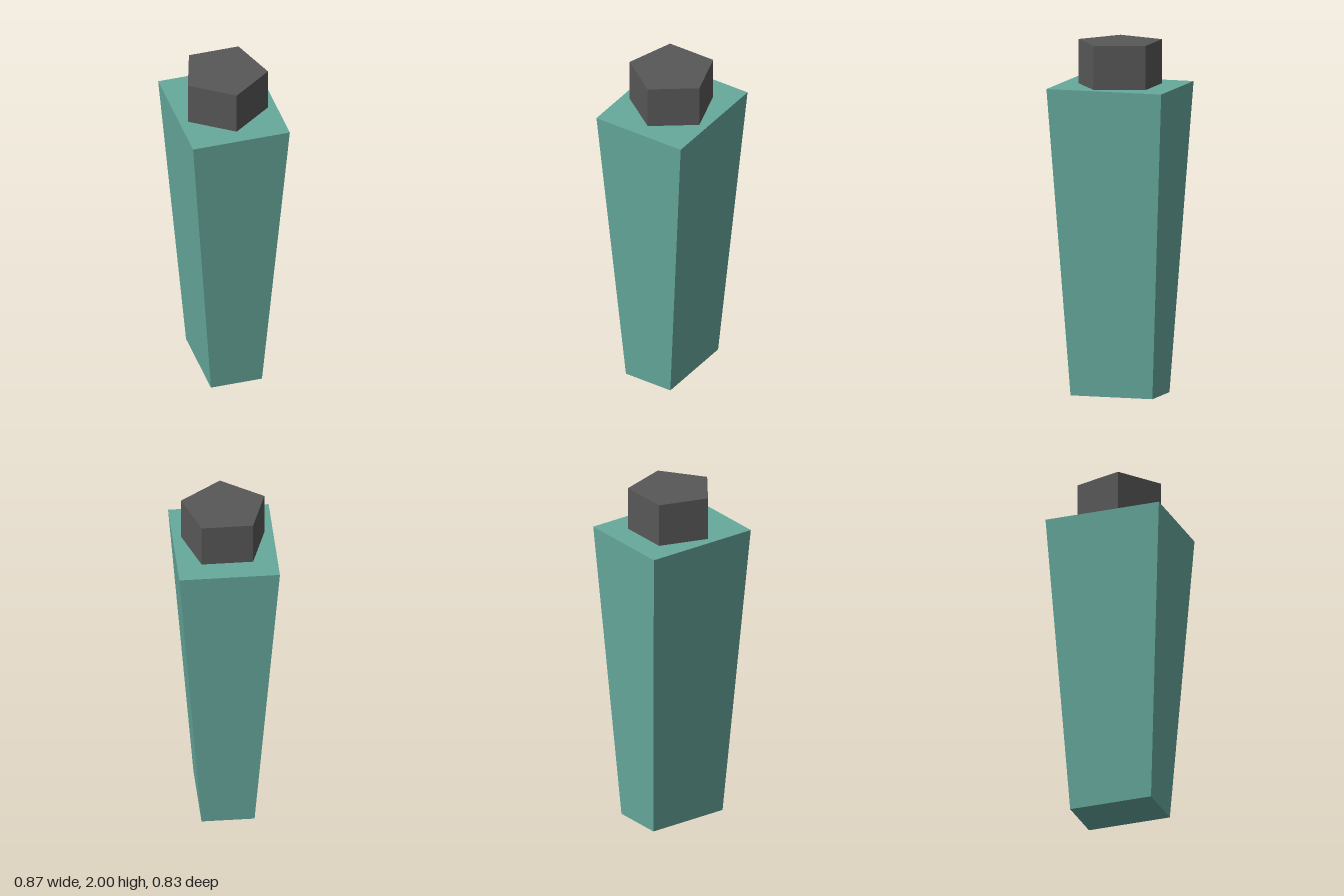
import * as THREE from 'three';

export function createModel() {
  const group = new THREE.Group();
  const teal = new THREE.MeshStandardMaterial({ name: 'teal', color: 0x66a99d });
  const darkGrey = new THREE.MeshStandardMaterial({ name: 'darkGrey', color: 0x575757 });

  // Body: a box whose rectangular section widens upwards
  const height = 1.75;
  const top = { w: 0.68, d: 0.567 };
  const bottom = { w: 0.485, d: 0.299 };
  const bodyGeometry = new THREE.BoxGeometry(1, height, 1);
  const p = bodyGeometry.attributes.position;
  for (let i = 0; i < p.count; i++) {
    const size = p.getY(i) > 0 ? top : bottom;
    p.setX(i, p.getX(i) * size.w);
    p.setZ(i, p.getZ(i) * size.d);
  }
  bodyGeometry.computeVertexNormals();
  const body = new THREE.Mesh(bodyGeometry, teal);
  body.name = 'body';
  body.position.y = height / 2;
  body.rotation.y = -0.509;
  group.add(body);

  // Cap: a five-sided prism, with flat normals on every side
  const capGeometry = new THREE.CylinderGeometry(0.247, 0.247, 0.25, 5).toNonIndexed();
  capGeometry.computeVertexNormals();
  const cap = new THREE.Mesh(capGeometry, darkGrey);
  cap.name = 'cap';
  cap.position.y = height + 0.125;
  cap.rotation.y = -0.194;
  group.add(cap);

  return group;
}
